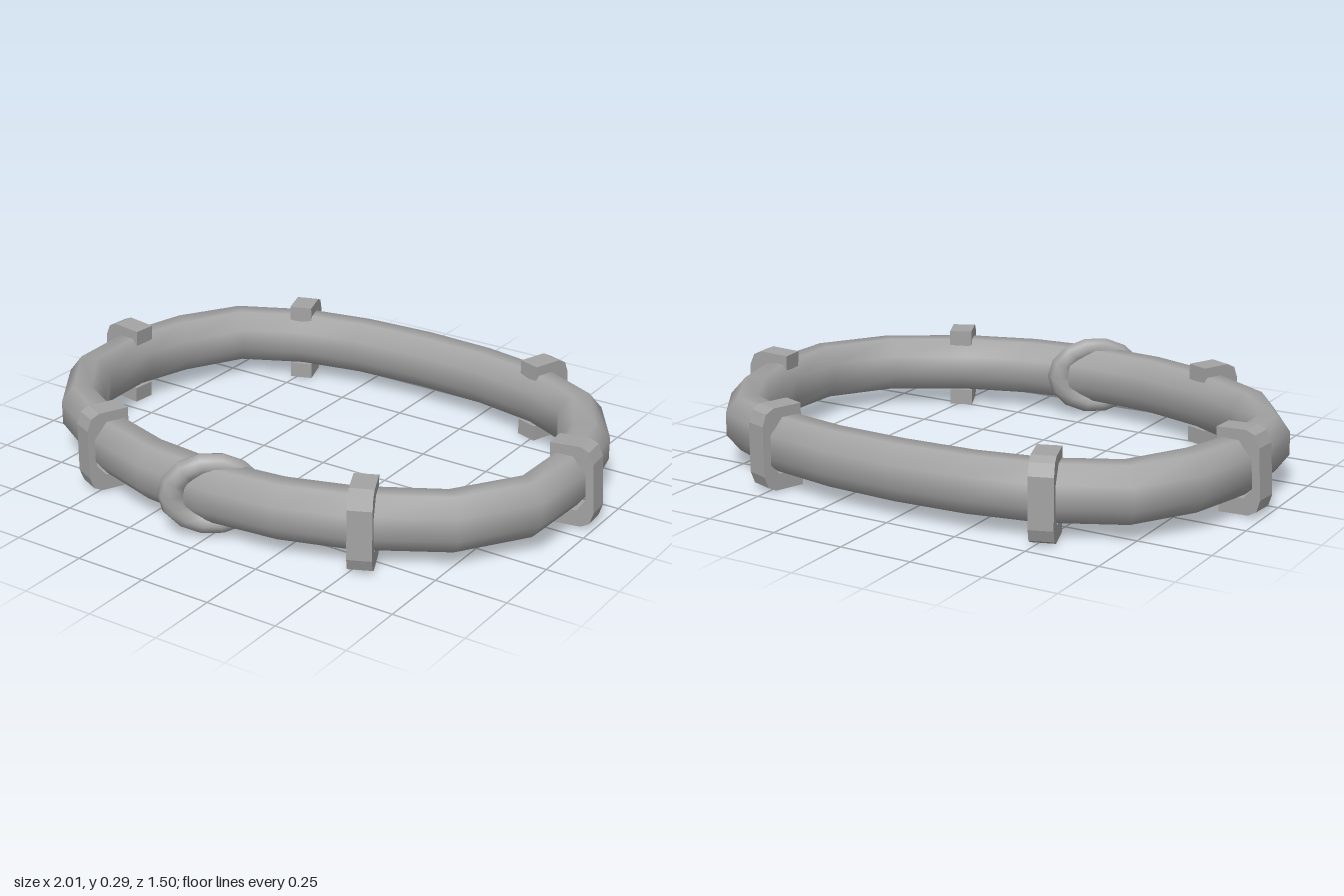
import * as THREE from 'three';

const steel = new THREE.MeshStandardMaterial({ color: 0xa3a3a3 });
steel.name = 'grey steel';

// Half of the hoop, back to front: outer x, outer z, inner x, inner z
const half = [
  [0, -0.75, 0, -0.595], [0.26, -0.735, 0.25, -0.585], [0.5, -0.69, 0.48, -0.54],
  [0.77, -0.56, 0.66, -0.45], [0.905, -0.355, 0.765, -0.25], [0.967, -0.09, 0.82, -0.09],
  [0.95, 0.2, 0.815, 0.14], [0.79, 0.435, 0.68, 0.34], [0.5, 0.61, 0.46, 0.46],
  [0.26, 0.685, 0.24, 0.53], [0, 0.71, 0, 0.555],
];

// Closed tube with an eight-sided, smoothly shaded cross-section
function hoopGeometry() {
  const mirrored = half.slice(1, -1).reverse().map(([ox, oz, ix, iz]) => [-ox, oz, -ix, iz]);
  const stations = [...half, ...mirrored];
  const sides = 8, n = stations.length, k = Math.cos(Math.PI / sides);
  const position = [], index = [];
  stations.forEach(([ox, oz, ix, iz], i) => {
    for (let j = 0; j < sides; j++) {
      const a = ((j + 0.5) / sides) * Math.PI * 2;
      const t = 0.5 + 0.5 * Math.cos(a) / k;
      position.push(ix + (ox - ix) * t, 0.155 + 0.095 * Math.sin(a) / k, iz + (oz - iz) * t);
      const p = i * sides + j, q = i * sides + (j + 1) % sides;
      const r = ((i + 1) % n) * sides + j, s = ((i + 1) % n) * sides + (j + 1) % sides;
      index.push(p, q, r, q, s, r);
    }
  });
  const g = new THREE.BufferGeometry();
  g.setAttribute('position', new THREE.Float32BufferAttribute(position, 3));
  g.setIndex(index);
  g.computeVertexNormals();
  return g;
}

// C-shaped clip, open toward the middle of the hoop
function clipGeometry() {
  const upper = [[-0.05, 0.085], [-0.05, 0.14], [0.055, 0.14], [0.085, 0.125], [0.1, 0.085]];
  const inner = [[0.072, 0.05], [0.04, 0.085]];
  const flip = (pts) => pts.map(([u, v]) => [u, -v]).reverse();
  const outline = [...upper, ...flip(upper), ...flip(inner), ...inner];
  const shape = new THREE.Shape(outline.map(([u, v]) => new THREE.Vector2(u, v)));
  const g = new THREE.ExtrudeGeometry(shape, { depth: 0.08, bevelEnabled: false });
  g.translate(0, 0, -0.04);
  return g;
}

export function createModel() {
  const model = new THREE.Group();
  model.name = 'bracelet';
  const add = (name, geometry) => {
    const mesh = new THREE.Mesh(geometry, steel);
    mesh.name = name;
    model.add(mesh);
    return mesh;
  };

  add('hoop', hoopGeometry());

  // Clips: x, z, outward x, outward z, lean
  const clip = clipGeometry();
  const places = [
    ['back', 0.497, -0.615, 0.33, -0.945, 0],
    ['side', 0.895, -0.09, 1, -0.08, 0.06],
    ['front', 0.503, 0.525, 0.42, 0.907, 0],
  ];
  for (const [name, x, z, ox, oz, lean] of places) {
    for (const s of [1, -1]) {
      const mesh = add(name + (s > 0 ? 'LeftClip' : 'RightClip'), clip);
      mesh.position.set(x * s, 0.145, z);
      mesh.rotation.set(0, Math.atan2(-oz, ox * s), lean, 'YXZ');
    }
  }

  // Slanted ring looped round the front of the hoop
  const loop = add('frontLoop', new THREE.TorusGeometry(0.104, 0.037, 8, 14));
  loop.scale.set(1.24, 1, 1.1);
  loop.rotation.y = THREE.MathUtils.degToRad(36);
  loop.position.set(0, 0.148, 0.635);

  return model;
}
